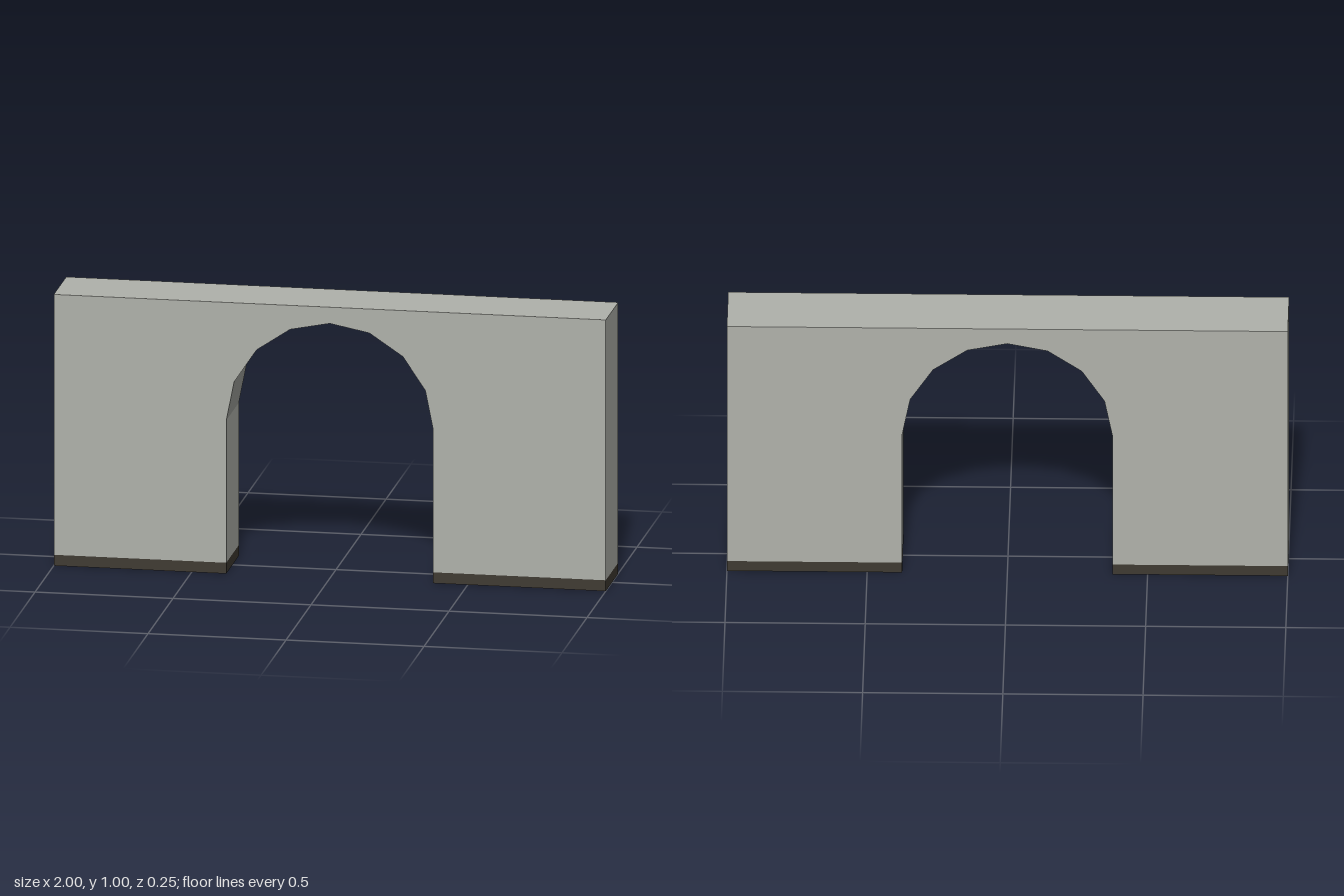
import * as THREE from 'three';

const HALF_WIDTH = 1, HEIGHT = 1, DEPTH = 0.25;
const ARCH_RADIUS = 0.375, SPRING_Y = 0.565, ARCH_SIDES = 8;
const SKIRT_HEIGHT = 0.04;

export function createModel() {
  const group = new THREE.Group();
  group.name = 'archedWall';

  const plaster = new THREE.MeshStandardMaterial({ color: 0xb0b2ab });
  plaster.name = 'grey plaster';
  const skirting = new THREE.MeshStandardMaterial({ color: 0x3f3a32 });
  skirting.name = 'dark skirting';

  // Wall outline with a faceted round arch cut out of the bottom edge
  const outline = [
    new THREE.Vector2(ARCH_RADIUS, SKIRT_HEIGHT),
    new THREE.Vector2(HALF_WIDTH, SKIRT_HEIGHT),
    new THREE.Vector2(HALF_WIDTH, HEIGHT),
    new THREE.Vector2(-HALF_WIDTH, HEIGHT),
    new THREE.Vector2(-HALF_WIDTH, SKIRT_HEIGHT),
    new THREE.Vector2(-ARCH_RADIUS, SKIRT_HEIGHT),
  ];
  for (let i = 0; i <= ARCH_SIDES; i++) {
    const a = Math.PI * (1 - i / ARCH_SIDES);
    outline.push(new THREE.Vector2(ARCH_RADIUS * Math.cos(a), SPRING_Y + ARCH_RADIUS * Math.sin(a)));
  }
  const wallGeometry = new THREE.ExtrudeGeometry(new THREE.Shape(outline), {
    depth: DEPTH, bevelEnabled: false,
  });
  wallGeometry.translate(0, 0, -DEPTH / 2);
  const wall = new THREE.Mesh(wallGeometry, plaster);
  wall.name = 'wall';
  group.add(wall);

  // Flush skirting around each pier: dark sides, plaster underside
  const pierWidth = HALF_WIDTH - ARCH_RADIUS;
  const faces = [skirting, skirting, plaster, plaster, skirting, skirting];
  for (const [side, name] of [[1, 'leftSkirting'], [-1, 'rightSkirting']]) {
    const base = new THREE.Mesh(new THREE.BoxGeometry(pierWidth, SKIRT_HEIGHT, DEPTH), faces);
    base.position.set(side * (ARCH_RADIUS + pierWidth / 2), SKIRT_HEIGHT / 2, 0);
    base.name = name;
    group.add(base);
  }

  return group;
}
